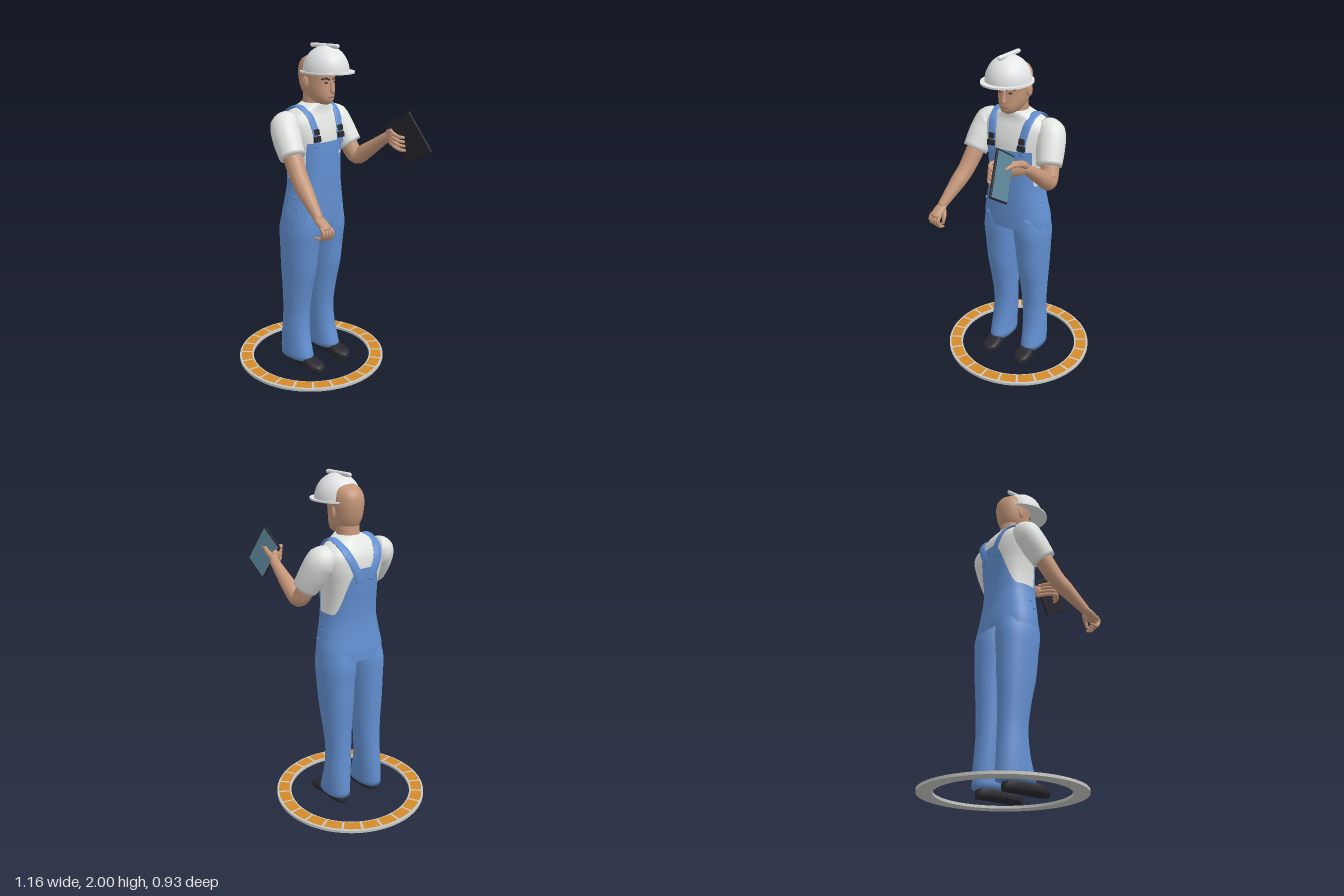
import * as THREE from 'three';
import { RoundedBoxGeometry } from 'three/addons/geometries/RoundedBoxGeometry.js';

const V = (x, y, z) => new THREE.Vector3(x, y, z);
const mat = (name, color, side = THREE.FrontSide) => Object.assign(new THREE.MeshStandardMaterial({ color, side }), { name });

// Skin a list of closed rings (arrays of Vector3) into a smooth surface
function loft(rings, caps = true) {
  const n = rings[0].length, pts = rings.flat(), idx = [];
  for (let i = 0; i < rings.length - 1; i++) for (let j = 0; j < n; j++) {
    const a = i * n + j, b = i * n + (j + 1) % n, c = a + n, d = b + n;
    idx.push(a, c, b, b, c, d);
  }
  if (caps) [0, rings.length - 1].forEach((i, top) => {
    const m = pts.length;
    pts.push(rings[i].reduce((s, p) => s.add(p), V(0, 0, 0)).divideScalar(n));
    for (let j = 0; j < n; j++) {
      const a = i * n + j, b = i * n + (j + 1) % n;
      idx.push(...(top ? [a, m, b] : [a, b, m]));
    }
  });
  const g = new THREE.BufferGeometry().setFromPoints(pts);
  g.setIndex(idx);
  g.computeVertexNormals();
  return g;
}

// Body described by horizontal sections: rows of [y, back x, front x, min z, max z]
function body(table, e = 0.85) {
  const it = new THREE.CubicInterpolant(table.map(r => r[0]), table.flatMap(r => r.slice(1)), 4);
  const pw = v => Math.sign(v) * Math.abs(v) ** e;
  const at = (y, th, off = 0) => {
    const [b, f, z0, z1] = it.evaluate(y);
    return V((b + f) / 2 + ((f - b) / 2 + off) * pw(Math.cos(th)), y, (z0 + z1) / 2 + ((z1 - z0) / 2 + off) * pw(Math.sin(th)));
  };
  const surfX = (y, z, side = 1) => {
    const [b, f, , z1] = it.evaluate(y);
    const s = Math.min(1, Math.abs(z) / z1) ** (1 / e);
    return (b + f) / 2 + side * (f - b) / 2 * Math.sqrt(1 - s * s) ** e;
  };
  const skin = (y0, y1, rows = 30, n = 40) => loft(Array.from({ length: rows + 1 }, (_, i) =>
    Array.from({ length: n }, (_, j) => at(y0 + (y1 - y0) * i / rows, j / n * Math.PI * 2))));
  return { at, surfX, skin };
}

// Tapered limb through [x, y, z, radius] points, with optional flattening and rounded ends
function limb(p, { ref = V(0, 0, 1), flat = 1, round = true, n = 16, steps = 5 } = {}) {
  const curve = new THREE.CatmullRomCurve3(p.map(q => V(q[0], q[1], q[2])));
  const N = (p.length - 1) * steps, rings = [];
  const ring = (t, r, shift) => {
    const T = curve.getTangent(t), c = curve.getPoint(t).addScaledVector(T, shift);
    const A = ref.clone().addScaledVector(T, -ref.dot(T)).normalize(), B = A.clone().cross(T);
    rings.push(Array.from({ length: n }, (_, j) => {
      const a = j / n * Math.PI * 2;
      return c.clone().addScaledVector(A, r * Math.cos(a)).addScaledVector(B, r * flat * Math.sin(a));
    }));
  };
  const ends = [1.4, 1.0, 0.5], r0 = p[0][3], r1 = p[p.length - 1][3], k = Math.min(flat, 1);
  if (round) ends.forEach(a => ring(0, r0 * Math.cos(a), -r0 * k * Math.sin(a)));
  for (let i = 0; i <= N; i++) {
    const s = Math.min(p.length - 2, Math.floor(i / steps));
    ring(i / N, THREE.MathUtils.lerp(p[s][3], p[s + 1][3], i / steps - s), 0);
  }
  if (round) [...ends].reverse().forEach(a => ring(1, r1 * Math.cos(a), r1 * k * Math.sin(a)));
  return loft(rings);
}

export function createModel() {
  const root = new THREE.Group();
  const skin = mat('skin', 0xc39578), denim = mat('blue denim', 0x628fd0, THREE.DoubleSide), cotton = mat('white cotton', 0xe2e4e1),
    shell = mat('helmet white', 0xe3e4e5), grey = mat('light grey', 0xc6c7c3), orange = mat('orange', 0xd48a2b),
    black = mat('black', 0x28272e), glass = mat('screen blue', 0x5f8a9f), brown = mat('dark brown', 0x3a2a24), lip = mat('lip', 0xa86f5c);
  const add = (name, geo, m, parent = root) => {
    const o = new THREE.Mesh(geo, m);
    o.name = name;
    parent.add(o);
    return o;
  };
  const group = name => { const g = new THREE.Group(); g.name = name; root.add(g); return g; };

  // Floor ring with 24 orange tiles
  const ringG = group('floorRing');
  ringG.position.x = -0.118;
  const disc = new THREE.Shape().absarc(0, 0, 0.465, 0, Math.PI * 2);
  disc.holes.push(new THREE.Path().absarc(0, 0, 0.376, 0, Math.PI * 2, true));
  add('ringBase', new THREE.ExtrudeGeometry(disc, { depth: 0.016, bevelEnabled: false, curveSegments: 48 })
    .rotateX(-Math.PI / 2).translate(0, 0.013, 0), grey, ringG);
  for (let i = 0; i < 24; i++) {
    const step = Math.PI / 12, gap = 0.032;
    add('ringTile', new THREE.RingGeometry(0.386, 0.453, 6, 1, i * step + gap / 2, step - gap)
      .rotateX(-Math.PI / 2).translate(0, 0.032, 0), orange, ringG);
  }

  // Torso: shirt, and overalls with a bib in front and a raised back panel
  const torso = body([[0.88, -0.235, 0.03, -0.205, 0.205], [1, -0.235, 0.038, -0.203, 0.203], [1.1, -0.222, 0.04, -0.183, 0.183],
    [1.2, -0.215, 0.042, -0.163, 0.163], [1.3, -0.22, 0.042, -0.16, 0.16], [1.4, -0.23, 0.04, -0.172, 0.172],
    [1.5, -0.237, 0.03, -0.195, 0.195], [1.57, -0.225, 0.01, -0.2, 0.2], [1.62, -0.195, -0.008, -0.16, 0.16],
    [1.645, -0.175, -0.008, -0.115, 0.115], [1.668, -0.155, -0.008, -0.072, 0.072]]);
  add('shirt', torso.skin(1.15, 1.668, 36, 48), cotton);
  const ss = THREE.MathUtils.smoothstep, M = 96;
  const topEdge = th => {
    const d = Math.abs(THREE.MathUtils.radToDeg(Math.atan2(Math.sin(th), Math.cos(th))));
    return 1.23 + 0.22 * (1 - ss(d, 48, 68)) + 0.27 * ss(d, 112, 172);
  };
  add('overallsBody', loft(Array.from({ length: 31 }, (_, i) => Array.from({ length: M }, (_, j) => {
    const th = j / M * Math.PI * 2;
    return torso.at(THREE.MathUtils.lerp(0.95, topEdge(th), i / 30), th, 0.007);
  })), false), denim);
  add('bibMark', new THREE.BoxGeometry(0.006, 0.022, 0.008).rotateX(-0.6).translate(torso.surfX(1.375, 0.085) + 0.008, 1.375, -0.085), cotton);

  for (const s of [1, -1]) {
    // Trouser legs and shoes
    const rows = [[0.055, -0.247, 0, 0.05, 0.19], [0.1, -0.247, -0.012, 0.05, 0.19], [0.2, -0.24, -0.04, 0.045, 0.188],
      [0.35, -0.23, -0.05, 0.038, 0.182], [0.5, -0.228, -0.03, 0.03, 0.19], [0.65, -0.235, 0.003, 0.02, 0.2],
      [0.8, -0.237, 0.02, 0.008, 0.208], [0.92, -0.24, 0.035, -0.002, 0.21], [1.03, -0.22, 0.03, -0.005, 0.19]];
    const shift = y => s < 0 ? 0.02 * (1 - y) : 0;
    add('trouserLeg', body(rows.map(([y, b, f, i, o]) => [y, b + shift(y), f, ...(s > 0 ? [i, o] : [-o, -i])]), 0.9)
      .skin(0.055, 1.03, 36), denim);
    add('shoe', loft([[-0.205, 0.012, 0.03], [-0.195, 0.035, 0.06], [-0.15, 0.046, 0.075], [-0.08, 0.044, 0.085], [-0.02, 0.05, 0.075],
      [0.03, 0.054, 0.06], [0.065, 0.046, 0.052], [0.085, 0.03, 0.042], [0.092, 0.01, 0.028]].map(([x, w, h]) =>
      Array.from({ length: 24 }, (_, j) => {
        const a = j / 24 * Math.PI * 2, c = Math.cos(a), q = Math.sin(a);
        return V(x, Math.max(0.002, h * (0.5 + 0.5 * Math.sign(c) * Math.abs(c) ** 0.6)), s * 0.12 - w * Math.sign(q) * Math.abs(q) ** 0.7);
      }))), black);

    // Straps, buckles and hip buttons
    const front = [[1.43, 0.1], [1.5, 0.1], [1.56, 0.107], [1.61, 0.115]].map(([y, z]) => [torso.surfX(y, z) + 0.009, y, s * z, 0.025]);
    const back = [[1.61, 0.115], [1.56, 0.098], [1.5, 0.07], [1.43, 0.04]].map(([y, z]) => [torso.surfX(y, z, -1) - 0.008, y, s * z, 0.027]);
    add('strap', limb([...front, [-0.09, 1.653, s * 0.122, 0.026], ...back], { flat: 0.28 }), denim);
    for (const [y, w] of [[1.475, 0.05], [1.515, 0.036]])
      add('buckle', new RoundedBoxGeometry(0.016, 0.034, w, 2, 0.005).rotateZ(0.15).translate(torso.surfX(y, 0.1) + 0.017, y, s * 0.1), black);
    for (const [x, y] of [[-0.07, 1.125], [-0.05, 1.07]])
      add('hipButton', new THREE.SphereGeometry(0.01, 12, 8).scale(1, 1, 0.5)
        .translate(x, y, s * (torso.at(y, Math.PI / 2).z + 0.006)), denim);
  }

  // Sleeves and bare arms
  add('rightSleeve', limb([[-0.125, 1.575, 0.15, 0.06], [-0.115, 1.545, 0.205, 0.085], [-0.07, 1.47, 0.232, 0.083], [-0.015, 1.385, 0.25, 0.073]], { n: 24, round: false }), cotton);
  add('leftSleeve', limb([[-0.125, 1.575, -0.15, 0.06], [-0.11, 1.545, -0.205, 0.086], [-0.07, 1.47, -0.23, 0.083], [-0.02, 1.385, -0.25, 0.074]], { n: 24, round: false }), cotton);
  add('rightArm', limb([[-0.07, 1.47, 0.23, 0.055], [0, 1.36, 0.252, 0.054], [0.06, 1.275, 0.268, 0.05], [0.12, 1.215, 0.285, 0.047], [0.24, 1.105, 0.315, 0.028]]), skin);
  add('leftArm', limb([[-0.07, 1.47, -0.23, 0.055], [-0.025, 1.37, -0.255, 0.053], [0.02, 1.312, -0.272, 0.05], [0.09, 1.355, -0.277, 0.047], [0.26, 1.472, -0.27, 0.028]]), skin);

  // Right hand, loosely curled
  const rh = group('rightHand');
  add('palm', limb([[0.23, 1.11, 0.313, 0.027], [0.265, 1.085, 0.317, 0.036], [0.305, 1.06, 0.32, 0.034]], { flat: 0.6 }), skin, rh);
  for (let i = 0; i < 4; i++) {
    const z = 0.291 + i * 0.02, d = i * 0.006;
    add('finger', limb([[0.3, 1.06, z, 0.011], [0.325 - d / 2, 1.035, z, 0.011], [0.312 - d, 1, z, 0.01], [0.275 - d, 0.982 + d, z, 0.008]], { n: 10 }), skin, rh);
  }
  add('thumb', limb([[0.255, 1.075, 0.292, 0.014], [0.275, 1.045, 0.28, 0.012], [0.285, 1.01, 0.283, 0.009]], { n: 10 }), skin, rh);

  // Left hand, gripping the tablet edge
  const lh = group('leftHand'), up = V(0, 1, 0);
  add('palm', limb([[0.25, 1.465, -0.27, 0.03], [0.285, 1.485, -0.255, 0.042], [0.325, 1.485, -0.215, 0.042]], { ref: up, flat: 0.55 }), skin, lh);
  for (let i = 0; i < 4; i++) {
    const y = 1.518 - i * 0.024, d = i * 0.004;
    add('finger', limb([[0.315, y, -0.215, 0.012], [0.355 + d, y + 0.008, -0.165, 0.012], [0.395 + d, y + 0.004, -0.135, 0.011],
      [0.42 + d, y - 0.012, -0.15, 0.01], [0.425 + d, y - 0.022, -0.188, 0.009]], { ref: up, n: 10 }), skin, lh);
  }
  add('thumb', limb([[0.27, 1.495, -0.275, 0.018], [0.33, 1.525, -0.275, 0.014], [0.38, 1.53, -0.255, 0.012], [0.42, 1.525, -0.247, 0.009]], { ref: up, n: 10 }), skin, lh);

  // Tablet: dark case, screen facing away to the side
  const tab = group('tablet');
  const e1 = V(0.136, -0.215, -0.039).normalize(), e2 = V(0.154, 0.1, 0).addScaledVector(e1, -V(0.154, 0.1, 0).dot(e1)).normalize();
  tab.quaternion.setFromRotationMatrix(new THREE.Matrix4().makeBasis(e1, e2, e1.clone().cross(e2)));
  tab.position.set(0.435, 1.486, -0.2275);
  add('tabletCase', new RoundedBoxGeometry(0.257, 0.186, 0.014, 2, 0.005), black, tab);
  add('tabletScreen', new THREE.BoxGeometry(0.238, 0.17, 0.003), glass, tab).position.z = -0.0075;

  // Head and face
  const hd = group('head');
  const skull = body([[1.662, -0.05, 0.03, -0.024, 0.024], [1.675, -0.09, 0.048, -0.045, 0.045], [1.7, -0.13, 0.055, -0.064, 0.064],
    [1.74, -0.158, 0.053, -0.079, 0.079], [1.79, -0.172, 0.05, -0.087, 0.087], [1.85, -0.176, 0.057, -0.091, 0.091],
    [1.89, -0.166, 0.05, -0.085, 0.085], [1.92, -0.138, 0.035, -0.07, 0.07], [1.945, -0.08, 0, -0.04, 0.04]], 0.92);
  add('skull', skull.skin(1.662, 1.945, 32), skin, hd);
  add('neck', limb([[-0.085, 1.62, 0, 0.075], [-0.083, 1.67, 0, 0.067], [-0.075, 1.74, 0, 0.066]], { n: 24 }), skin, hd);
  add('nose', limb([[0.05, 1.795, 0, 0.007], [0.056, 1.765, 0, 0.01], [0.06, 1.738, 0, 0.014]]), skin, hd);
  add('mouth', limb([-0.024, 0, 0.024].map(z => [skull.surfX(1.706, z) - 0.001, 1.706, z, z ? 0.003 : 0.006]), { ref: up, n: 10 }), lip, hd);
  for (const s of [1, -1]) {
    add('ear', new THREE.SphereGeometry(1, 16, 12).scale(0.022, 0.036, 0.011).rotateY(s * 0.3).translate(-0.065, 1.787, s * 0.091), skin, hd);
    add('eyebrow', limb([[0.016, 1.803], [0.035, 1.812], [0.056, 1.808]].map(([z, y]) => [skull.surfX(y, z), y, s * z, 0.0045]), { ref: up, n: 8 }), brown, hd);
    add('eye', new THREE.SphereGeometry(1, 12, 8).scale(0.005, 0.005, 0.012).rotateY(-s * 0.4).translate(skull.surfX(1.787, 0.034), 1.787, s * 0.034), brown, hd);
  }

  // Hard hat: dome, brim and top ridge
  const hat = group('hardHat');
  add('dome', new THREE.SphereGeometry(1, 48, 20, 0, Math.PI * 2, 0, Math.PI / 2).scale(0.137, 0.143, 0.128).translate(0.01, 1.847, 0), shell, hat);
  add('brim', new THREE.CylinderGeometry(1, 1, 0.01, 56).scale(0.164, 1, 0.143).translate(0.02, 1.846, 0), shell, hat);
  add('ridge', new THREE.CapsuleGeometry(0.013, 0.188, 6, 16).rotateZ(Math.PI / 2).translate(0, 1.987, 0), shell, hat);
  return root;
}
